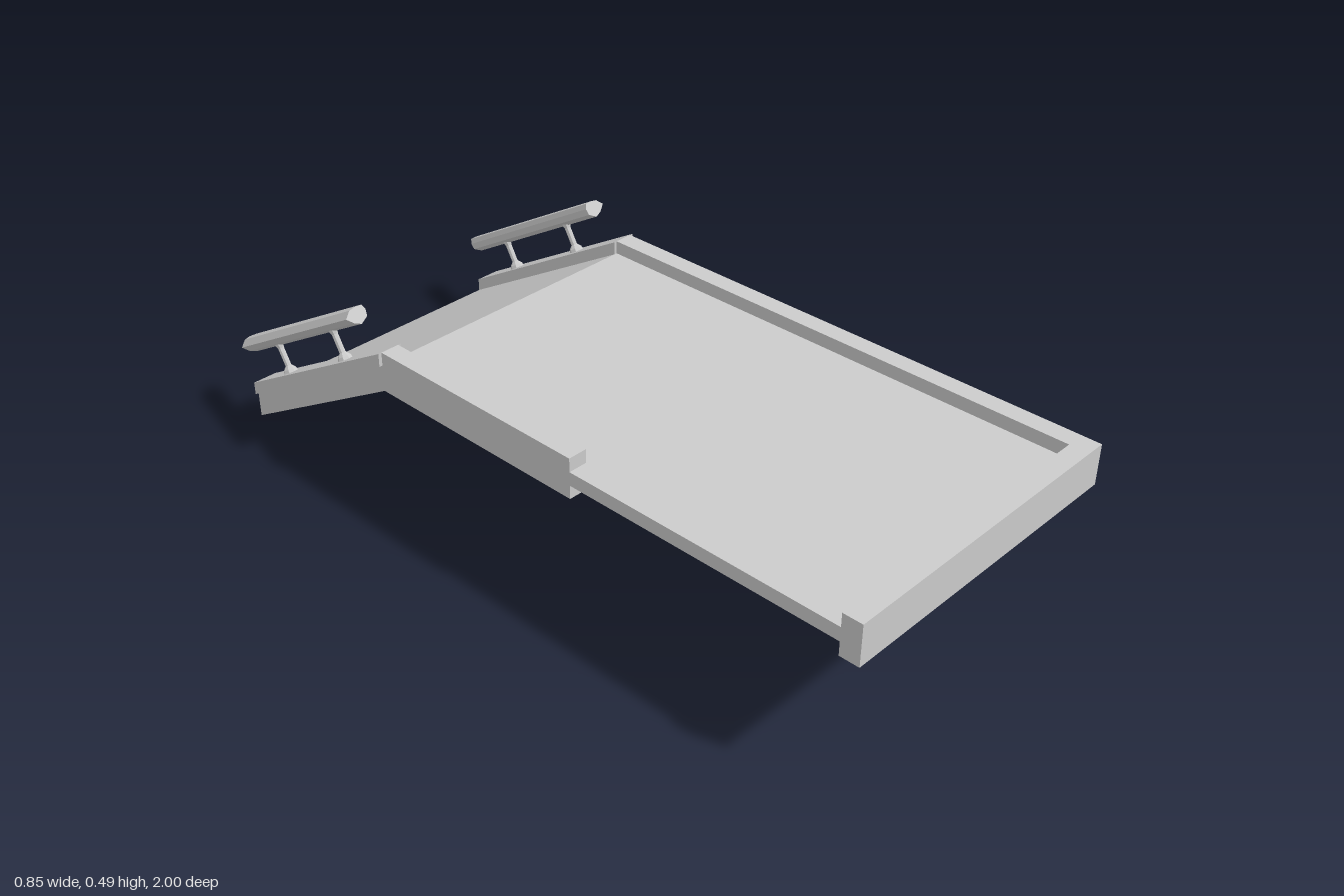
import * as THREE from 'three';

const material = new THREE.MeshStandardMaterial({ color: 0xcccccc, flatShading: true });

// Key stations along z, and heights of the level part
const FRONT = 1, BEND = -0.405, END = -0.955;
const BASE = 0.32, DECK_LOW = 0.355, DECK_TOP = 0.39, RIM_TOP = 0.425;
const SLOPE = 0.576, ANGLE = Math.atan(SLOPE);
const DROP = (BEND - END) * SLOPE;

function add(parent, name, geometry) {
  const mesh = new THREE.Mesh(geometry, material);
  mesh.name = name;
  parent.add(mesh);
  return mesh;
}

// Extrudes a (z, y) side profile from x0 to x1
function slab(points, x0, x1) {
  const shape = new THREE.Shape(points.map(([z, y]) => new THREE.Vector2(z, y)));
  const g = new THREE.ExtrudeGeometry(shape, { depth: x1 - x0, bevelEnabled: false });
  return g.rotateY(-Math.PI / 2).translate(x1, 0, 0);
}

const level = (z0, z1, y0, y1) => [[z0, y0], [z1, y0], [z1, y1], [z0, y1]];
const sloped = (y0, y1) => [[END, y0 - DROP], [BEND, y0], [BEND, y1], [END, y1 - DROP]];

// Handrail with its two posts, built for the +x side
function createHandrail() {
  const group = new THREE.Group();
  group.name = 'handrail';

  // Bar: rounded towards the ramp, pointed outwards
  const profile = [
    [0.031, 0.002], [0.014, 0.018], [-0.003, 0.021], [-0.023, 0.02],
    [-0.029, 0.007], [-0.026, -0.01], [-0.004, -0.022], [0.014, -0.014],
  ].map(([x, y]) => new THREE.Vector2(x, y));
  const length = 0.544;
  const barGeometry = new THREE.ExtrudeGeometry(new THREE.Shape(profile),
    { depth: length, bevelEnabled: false }).translate(0, 0, -length / 2);
  const bar = add(group, 'handrailBar', barGeometry);
  bar.position.set(0.395, 0.336, -0.75);
  bar.rotation.x = -ANGLE;

  // Posts square to the slope, flared at foot and head
  const postProfile = [[0, 0], [0.019, 0], [0.017, 0.008], [0.008, 0.018],
    [0.008, 0.066], [0.013, 0.08], [0, 0.08]].map(([r, y]) => new THREE.Vector2(r, y));
  for (const z of [-0.583, -0.825]) {
    const post = add(group, 'handrailPost', new THREE.LatheGeometry(postProfile, 8));
    post.position.set(0.392, RIM_TOP + (z - BEND) * SLOPE, z);
    post.rotation.x = -ANGLE;
  }
  return group;
}

export function createModel() {
  const model = new THREE.Group();
  model.name = 'rampPlatform';

  // Level deck, its open edge on the right, and the sloping deck
  add(model, 'deck', slab(level(BEND, 0.95, DECK_LOW, DECK_TOP), -0.365, 0.365));
  add(model, 'deckOpenEdge', slab(level(0.22, 0.95, DECK_LOW, DECK_TOP), -0.415, -0.365));
  add(model, 'rampDeck', slab(sloped(DECK_LOW, DECK_TOP), -0.365, 0.365));

  // Rims: full length on the left, short on the right, across the front
  add(model, 'leftRim', slab(level(BEND, 0.95, BASE, RIM_TOP), 0.365, 0.415));
  add(model, 'rightRim', slab(level(BEND, 0.22, BASE, RIM_TOP), -0.415, -0.365));
  add(model, 'frontRim', slab(level(0.95, FRONT, BASE, RIM_TOP), -0.415, 0.415));

  // Ramp sides: narrow beam below, wider kerb on top, handrail above
  for (const side of [1, -1]) {
    const group = new THREE.Group();
    group.name = side > 0 ? 'leftRampSide' : 'rightRampSide';
    add(group, 'rampBeam', slab(sloped(BASE, DECK_TOP), 0.365, 0.415));
    add(group, 'rampKerb', slab(sloped(DECK_TOP, RIM_TOP), 0.357, 0.424));
    group.add(createHandrail());
    group.scale.x = side;
    model.add(group);
  }
  return model;
}
